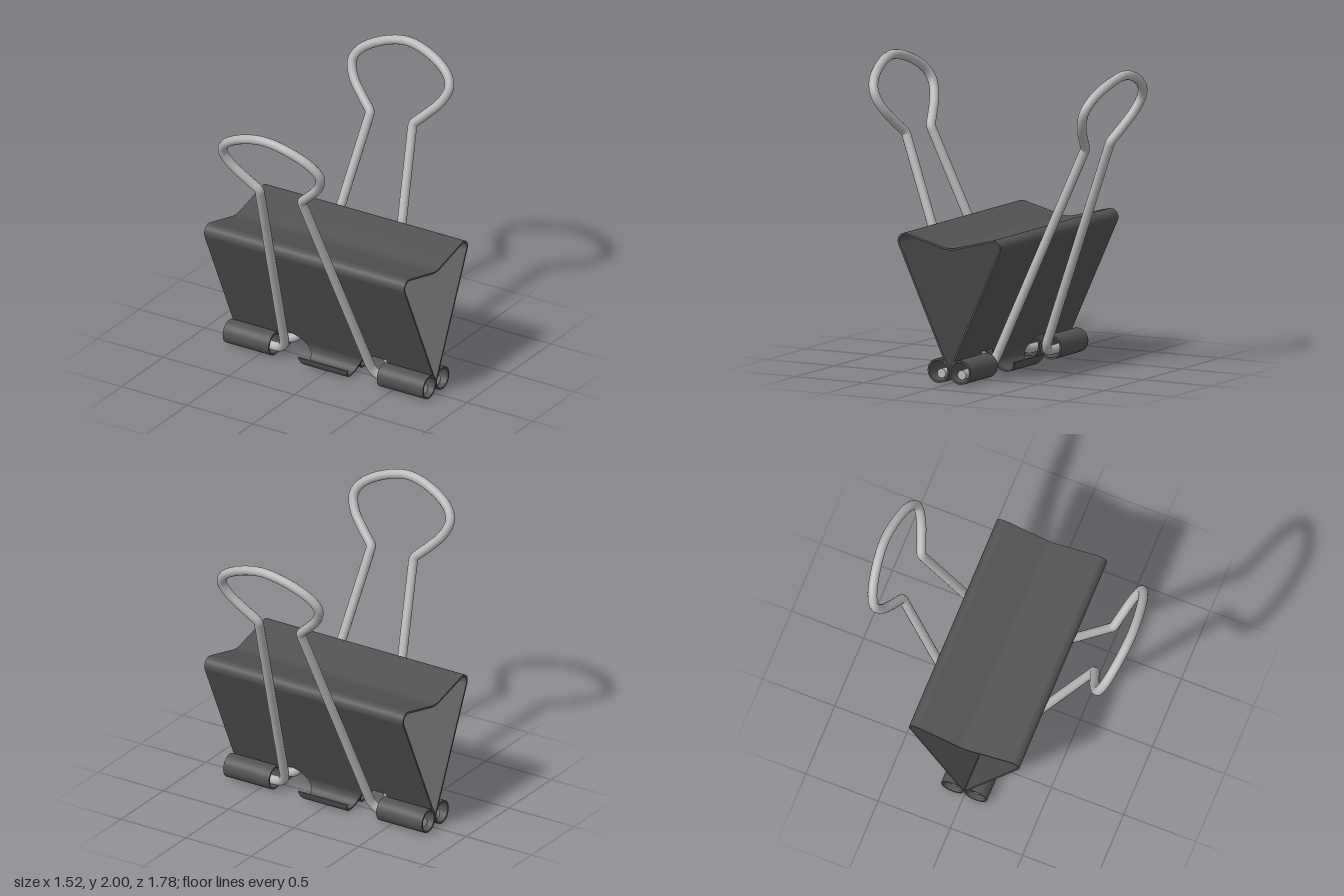
import * as THREE from 'three';
import { mergeGeometries } from 'three/addons/utils/BufferGeometryUtils.js';

const THICK = 0.012;
const WIRE = 0.031;
const CURL = { z: 0.08, y: 0.079, r: 0.073 };

// Points [z, y] on a circle between two angles in degrees
function arc(cz, cy, r, from, to, n) {
  return Array.from({ length: n + 1 }, (_, i) => {
    const a = THREE.MathUtils.degToRad(from + ((to - from) * i) / n);
    return [cz + r * Math.cos(a), cy + r * Math.sin(a)];
  });
}

// Smooth ribbon of quads between pairs of points
function ribbon(pairs) {
  const index = [];
  for (let i = 0; i < pairs.length - 1; i++) {
    const a = 2 * i;
    index.push(a, a + 1, a + 2, a + 1, a + 3, a + 2);
  }
  const g = new THREE.BufferGeometry();
  g.setAttribute('position', new THREE.Float32BufferAttribute(pairs.flat(2), 3));
  g.setIndex(index);
  g.computeVertexNormals();
  return g;
}

// Bent metal sheet: a [z, y] profile given thickness, spanning x = range(y)
function sheet(profile, range) {
  const rows = profile.map(([z, y], i) => {
    const p = profile[Math.max(i - 1, 0)];
    const q = profile[Math.min(i + 1, profile.length - 1)];
    const len = Math.hypot(q[0] - p[0], q[1] - p[1]);
    const nz = ((q[1] - p[1]) / len) * THICK / 2;
    const ny = (-(q[0] - p[0]) / len) * THICK / 2;
    const [x0, x1] = range(y);
    return {
      a: [x0, y + ny, z + nz], b: [x1, y + ny, z + nz],
      c: [x0, y - ny, z - nz], d: [x1, y - ny, z - nz],
    };
  });
  const s = rows[0], e = rows[rows.length - 1];
  return mergeGeometries([
    ribbon(rows.map((r) => [r.a, r.b])),
    ribbon(rows.map((r) => [r.d, r.c])),
    ribbon(rows.map((r) => [r.b, r.d])),
    ribbon(rows.map((r) => [r.c, r.a])),
    ribbon([[s.c, s.d], [s.a, s.b]]),
    ribbon([[e.a, e.b], [e.c, e.d]]),
  ]);
}

// Half width of the centre tab, flaring towards the wall
function tabHalfWidth(y) {
  const k = [[0, 0.16], [0.06, 0.185], [0.1, 0.207], [0.13, 0.23], [0.155, 0.258], [0.17, 0.3]];
  if (y <= 0) return k[0][1];
  for (let i = 1; i < k.length; i++) {
    if (y <= k[i][0]) {
      const t = (y - k[i - 1][0]) / (k[i][0] - k[i - 1][0]);
      return THREE.MathUtils.lerp(k[i - 1][1], k[i][1], t);
    }
  }
  return 0.3;
}

// Wire path on the tilted handle plane
const onPlane = (x, y) => new THREE.Vector3(x, y, 0.075 + (y - 0.058) * 0.4095);

function handlePath() {
  const path = new THREE.CurvePath();
  const line = (a, b) => path.add(new THREE.LineCurve3(onPlane(...a), onPlane(...b)));
  const bend = (a, b, c) =>
    path.add(new THREE.QuadraticBezierCurve3(onPlane(...a), onPlane(...b), onPlane(...c)));
  const foot = [0.73, 0.058], footIn = [0.42, 0.058], heel = [0.333, 0.058], ankle = [0.324, 0.15];
  const neckLow = [0.163, 1.48], neck = [0.16, 1.5], neckHigh = [0.175, 1.514];
  const m = ([x, y]) => [-x, y];
  const side = [[0.25, 1.583], [0.335, 1.675], [0.37, 1.77], [0.33, 1.845], [0.19, 1.927]];
  const loop = [neckHigh, ...side, [0, 1.969], ...side.map(m).reverse(), m(neckHigh)];

  line(foot, footIn);
  bend(footIn, heel, ankle);
  line(ankle, neckLow);
  bend(neckLow, neck, neckHigh);
  path.add(new THREE.CatmullRomCurve3(loop.map((p) => onPlane(...p)), false, 'centripetal'));
  bend(m(neckHigh), m(neck), m(neckLow));
  line(m(neckLow), m(ankle));
  bend(m(ankle), m(heel), m(footIn));
  line(m(footIn), m(foot));
  return path;
}

export function createModel() {
  const black = new THREE.MeshStandardMaterial({ color: 0x525252 });
  black.name = 'dark steel';
  const silver = new THREE.MeshStandardMaterial({ color: 0xb8b8b8 });
  silver.name = 'silver wire';

  const model = new THREE.Group();
  model.name = 'binderClip';
  const add = (parent, name, geometry, material) => {
    const mesh = new THREE.Mesh(geometry, material);
    mesh.name = name;
    parent.add(mesh);
    return mesh;
  };

  // Profiles running from the spine dip down the wall and into the curl
  const notch = [0.042, 0.17];
  const wallProfile = [
    ...arc(0, 1.076, 0.2, -90, -75, 6),
    ...arc(0.328, 0.903, 0.048, 105, -25, 16),
    notch,
  ];
  const curlProfile = [notch, ...arc(CURL.z, CURL.y, CURL.r, 155, 512, 40)];
  const tabWall = [0, 0.2, 0.4, 0.6, 0.8].map((t) => [
    THREE.MathUtils.lerp(notch[0], 0.014, t),
    THREE.MathUtils.lerp(notch[1], 0.11, t),
  ]);
  const tabProfile = [...tabWall, ...arc(CURL.z, CURL.y, CURL.r, 155, 354, 24)];

  const wire = new THREE.TubeGeometry(handlePath(), 340, WIRE, 14, false);

  // Each half holds a wall, two curls, a tab and a handle
  for (const [name, turn] of [['front', 0], ['back', Math.PI]]) {
    const half = new THREE.Group();
    half.name = name + 'Half';
    half.rotation.y = turn;
    add(half, name + 'Wall', sheet(wallProfile, () => [-0.762, 0.762]), black);
    add(half, name + 'LeftCurl', sheet(curlProfile, () => [0.412, 0.762]), black);
    add(half, name + 'RightCurl', sheet(curlProfile, () => [-0.762, -0.412]), black);
    add(half, name + 'Tab', sheet(tabProfile, (y) => [-tabHalfWidth(y), tabHalfWidth(y)]), black);
    add(half, name + 'Handle', wire, silver);
    // Wire ends inside the curls
    for (const s of [1, -1]) {
      const cap = add(half, name + 'WireEnd', new THREE.CircleGeometry(WIRE, 14), silver);
      cap.position.set(s * 0.73, 0.058, 0.075);
      cap.rotation.y = (s * Math.PI) / 2;
    }
    model.add(half);
  }
  return model;
}
